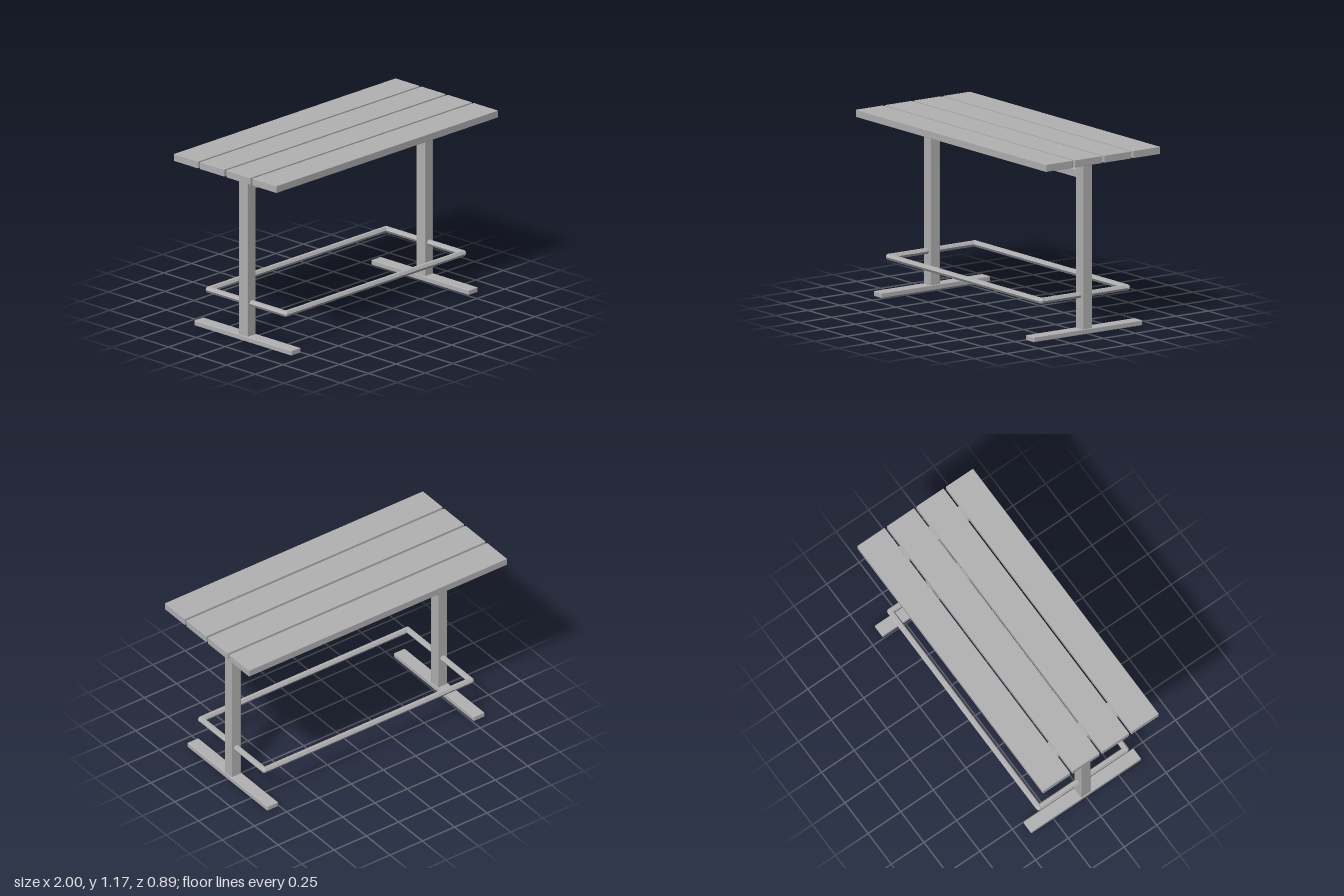
import * as THREE from 'three';
import { RoundedBoxGeometry } from 'three/addons/geometries/RoundedBoxGeometry.js';

export function createModel() {
  const table = new THREE.Group();
  table.name = 'highTable';
  const grey = new THREE.MeshStandardMaterial({ color: 0xb2b2b2, flatShading: true });
  grey.name = 'plainGrey';

  function add(name, geometry, x, y, z) {
    const mesh = new THREE.Mesh(geometry, grey);
    mesh.name = name;
    mesh.position.set(x, y, z);
    table.add(mesh);
    return mesh;
  }

  // Box with small bevelled edges, given by its lower and upper heights
  function block(name, w, d, y0, y1, x, z, bevel = 0.004) {
    const geometry = new RoundedBoxGeometry(w, y1 - y0, d, 1, bevel);
    return add(name, geometry, x, (y0 + y1) / 2, z);
  }

  // Four top planks with narrow gaps
  for (let i = 0; i < 4; i++) {
    block('plank', 2, 0.209, 1.12, 1.167, 0, (i - 1.5) * 0.226, 0.002);
  }

  const legX = 0.8;
  const railZ = 0.333;
  const railY = 0.247;
  const railR = 0.02;

  // Six-sided rail with an edge facing outward
  function rail(name, length, alongX, x, z) {
    const geometry = new THREE.CylinderGeometry(railR, railR, length, 6);
    if (alongX) geometry.rotateZ(Math.PI / 2);
    else geometry.rotateY(Math.PI / 2).rotateX(Math.PI / 2);
    add(name, geometry, x, railY, z);
  }

  for (const side of [-1, 1]) {
    const x = side * legX;
    // End frame: foot, post and the bearer let into the planks
    block('foot', 0.084, 0.842, 0, 0.033, x, 0);
    block('leg', 0.074, 0.074, 0.03, 1.108, x, 0);
    block('topBearer', 0.108, 0.706, 1.104, 1.147, x, 0);

    // Footrest ring
    rail('footrestSideRail', railZ * 2, false, x, 0);
    rail('footrestLongRail', legX * 2, true, 0, side * railZ);
    for (const end of [-1, 1]) {
      add('footrestCorner', new THREE.SphereGeometry(railR, 12, 8), x, railY, end * railZ);
    }
  }

  // Beam joining the posts under the top
  add('crossBeam', new THREE.BoxGeometry(legX * 2 - 0.06, 0.047, 0.047), 0, 1.013, 0);

  return table;
}
